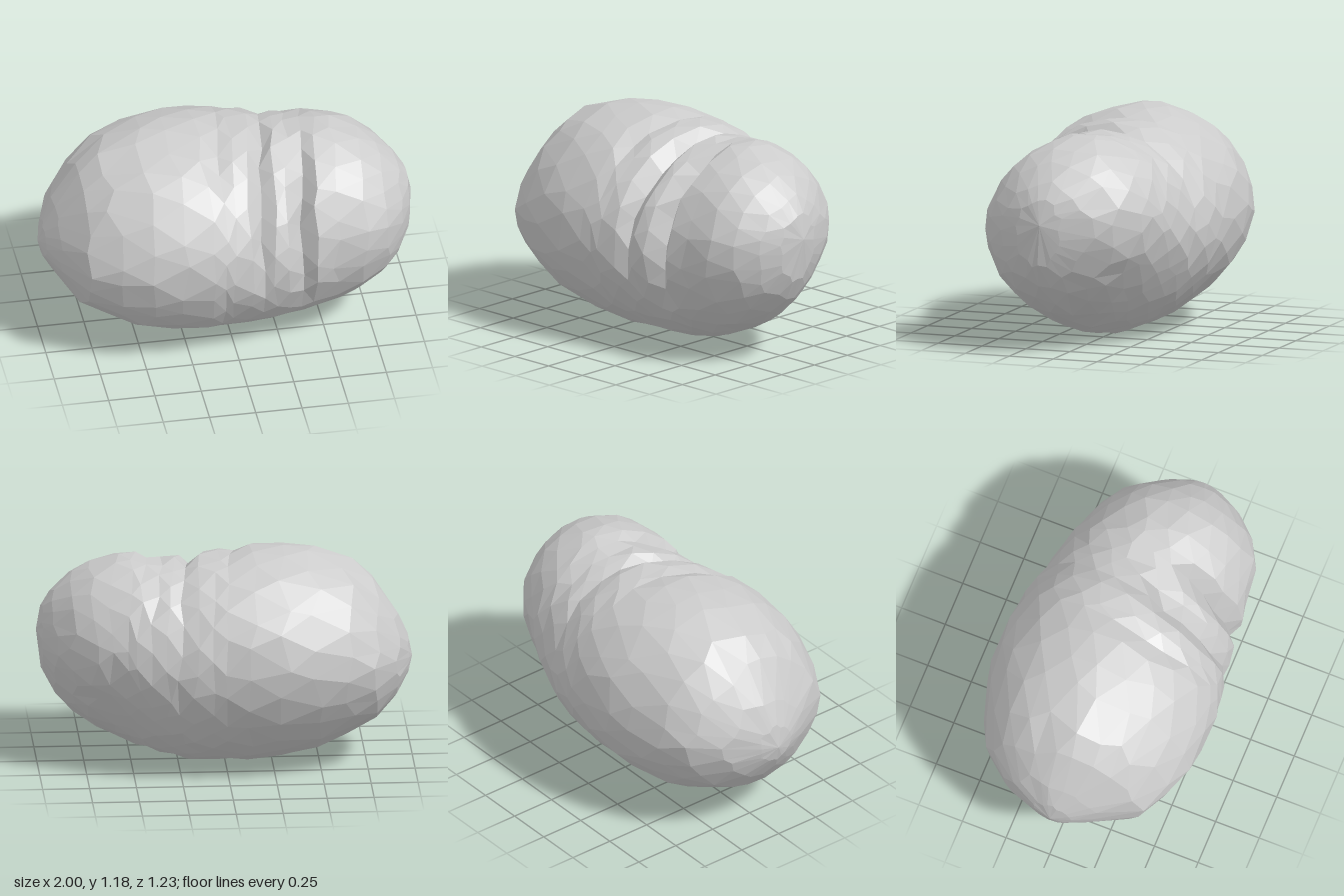
import * as THREE from 'three';

// Stations along the body: x, bottom y, top y, back z, front z
const stations = [
  [-1.00, 0.55, 0.55, 0.00, 0.00],
  [-0.97, 0.45, 0.69, -0.12, 0.11],
  [-0.92, 0.37, 0.80, -0.27, 0.21],
  [-0.80, 0.22, 0.98, -0.43, 0.44],
  [-0.70, 0.17, 1.09, -0.50, 0.50],
  [-0.50, 0.06, 1.16, -0.57, 0.59],
  [-0.22, 0.00, 1.18, -0.62, 0.62],
  [0.00, 0.00, 1.15, -0.60, 0.59],
  [0.20, 0.00, 1.12, -0.57, 0.56],
  [0.34, 0.03, 1.11, -0.52, 0.54],
  [0.45, 0.06, 1.13, -0.49, 0.54],
  [0.60, 0.13, 1.12, -0.43, 0.53],
  [0.76, 0.21, 1.06, -0.36, 0.48],
  [0.88, 0.33, 0.96, -0.23, 0.38],
  [0.95, 0.43, 0.88, -0.08, 0.27],
  [0.99, 0.56, 0.79, 0.03, 0.16],
  [1.00, 0.71, 0.71, 0.08, 0.08],
];

// Flattening of the section's quarters: x, upper front, upper back, lower back, lower front
const flats = [
  [-1.0, 0.12, 0.06, 0.02, 0.00],
  [-0.7, 0.10, 0.05, 0.03, 0.00],
  [-0.2, 0.02, -0.03, 0.07, 0.03],
  [0.3, 0.06, -0.02, 0.09, 0.03],
  [0.7, 0.03, -0.04, 0.15, 0.01],
  [1.0, 0.03, -0.02, 0.12, 0.00],
];

// Row of a table interpolated at x, measured by the given scale
function rowAt(table, x, scale) {
  let i = 0;
  while (i < table.length - 2 && table[i + 1][0] < x) i++;
  const s0 = scale(table[i][0]), s1 = scale(table[i + 1][0]);
  const t = (scale(x) - s0) / (s1 - s0);
  return table[i].map((v, k) => THREE.MathUtils.lerp(v, table[i + 1][k], t));
}
// Polar angle, so that the ends close roundly
const polar = (x) => Math.acos(THREE.MathUtils.clamp(-x, -1, 1));
const linear = (x) => x;

// Rings of the skin, close together around the folds
const ringX = [-0.975, -0.91, -0.8, -0.65, -0.47, -0.29, -0.14, -0.03, 0.03, 0.12,
  0.2, 0.26, 0.34, 0.42, 0.48, 0.58, 0.7, 0.82, 0.91, 0.97];
const SEGMENTS = 22;

// Folds pinched into single rings: ring x, depth, centre angle (0 front, PI/2 top), reach
const folds = [
  [-0.03, 0.025, 1.3, 0.5],
  [0.20, 0.06, 0.8, 0.9],
  [0.42, 0.08, 0.5, 0.85],
  [0.58, 0.02, 0.2, 0.5],
  [0.20, 0.02, 2.5, 0.6],
];
const foldDepth = (x, angle) => folds.reduce((sum, [fx, depth, centre, reach]) => {
  const d = angle - centre;
  const turn = Math.atan2(Math.sin(d), Math.cos(d));
  return fx === x ? sum + depth * Math.exp(-((turn / reach) ** 4)) : sum;
}, 0);

// Small seeded noise in -1..1
let seed = 7;
const noise = () => {
  seed = (seed * 16807) % 2147483647;
  return (seed / 2147483647) * 2 - 1;
};

function skinPoint(ring, j) {
  const x0 = ringX[ring];
  const angle = ((j + (ring % 2) / 2 + 0.22 * noise()) / SEGMENTS) * Math.PI * 2;
  // Middle rings lean: forward ends to the right side, rear ends to the left
  const lean = -0.07 * Math.cos(angle) * Math.exp(-(((x0 - 0.28) / 0.4) ** 4));
  const gap = Math.min(x0 - (ringX[ring - 1] ?? -1), (ringX[ring + 1] ?? 1) - x0);
  const x = x0 + lean + 0.25 * gap * noise();

  const [, bottom, top, back, front] = rowAt(stations, x, polar);
  const quarter = ((Math.floor(angle / (Math.PI / 2)) % 4) + 4) % 4;
  const flat = rowAt(flats, x, linear)[quarter + 1] * Math.abs(Math.sin(2 * angle));
  const r = 1.004 + 0.01 * noise() - flat - foldDepth(x0, angle) / 0.55;
  return [
    x,
    (bottom + top) / 2 + (Math.sin(angle) * r * (top - bottom)) / 2,
    (back + front) / 2 + (Math.cos(angle) * r * (front - back)) / 2,
  ];
}

function buildSkin() {
  const positions = [], index = [];
  for (let i = 0; i < ringX.length; i++) {
    for (let j = 0; j < SEGMENTS; j++) positions.push(...skinPoint(i, j));
  }
  const leftTip = ringX.length * SEGMENTS, rightTip = leftTip + 1;
  for (const [x, y, , z] of [stations[0], stations[stations.length - 1]]) positions.push(x, y, z);

  const at = (i, j) => i * SEGMENTS + (j % SEGMENTS);
  const last = ringX.length - 1;
  for (let j = 0; j < SEGMENTS; j++) {
    for (let i = 0; i < last; i++) {
      const a = at(i, j), a1 = at(i, j + 1), b = at(i + 1, j), b1 = at(i + 1, j + 1);
      // Staggered rings: the diagonal alternates
      if (i % 2) index.push(a, b1, a1, a, b, b1);
      else index.push(a, b, a1, b, b1, a1);
    }
    index.push(leftTip, at(0, j), at(0, j + 1));
    index.push(at(last, j), rightTip, at(last, j + 1));
  }
  const geometry = new THREE.BufferGeometry();
  geometry.setAttribute('position', new THREE.Float32BufferAttribute(positions, 3));
  geometry.setIndex(index);

  // Rest on the ground
  geometry.computeBoundingBox();
  geometry.translate(0, -geometry.boundingBox.min.y, 0);
  geometry.computeVertexNormals();
  return geometry;
}

export function createModel() {
  seed = 7;
  const group = new THREE.Group();
  const body = new THREE.Mesh(
    buildSkin(),
    new THREE.MeshStandardMaterial({ color: 0xcccccc, flatShading: true })
  );
  body.name = 'lumpyBody';
  group.add(body);
  return group;
}
